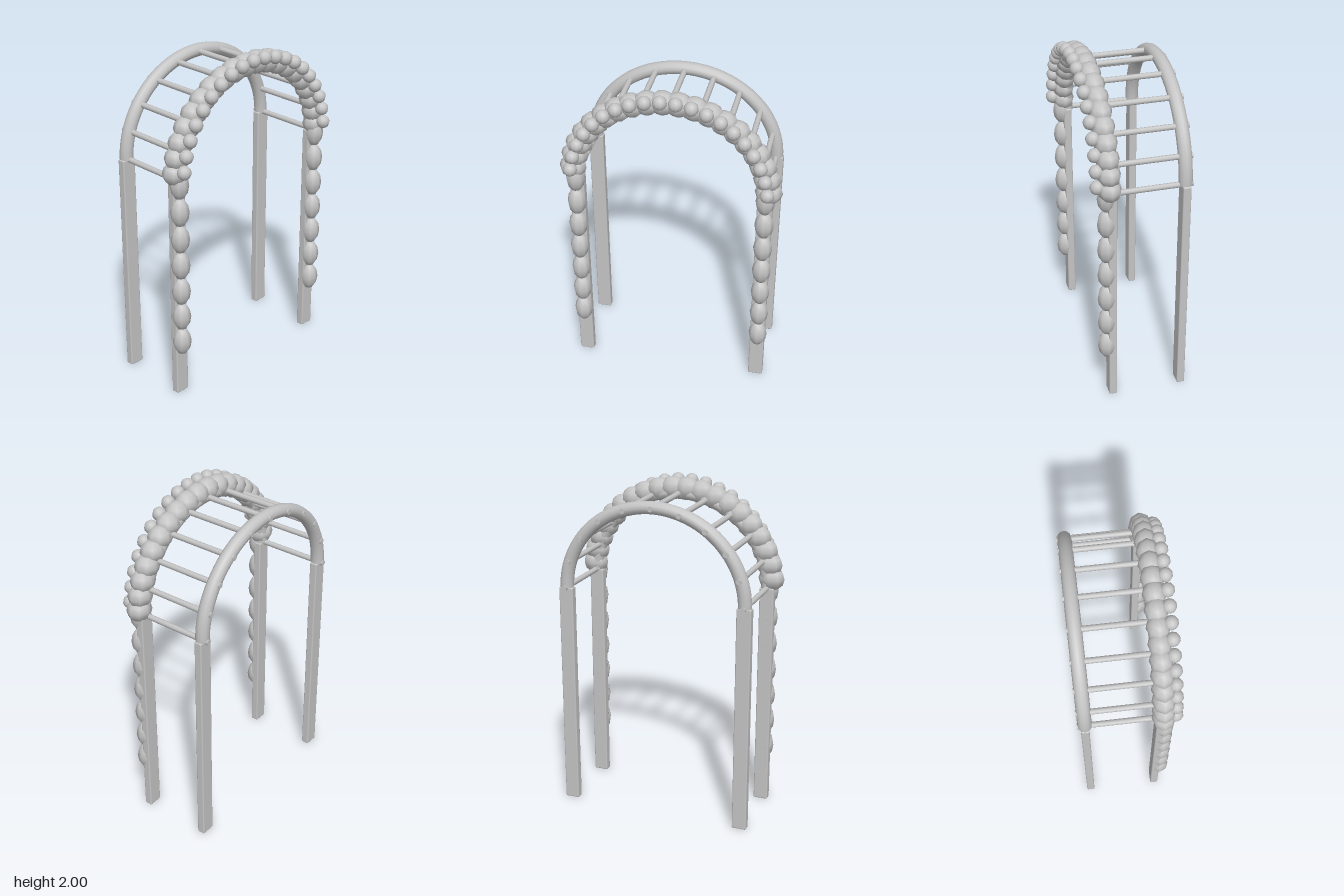
import * as THREE from 'three';
import { RoundedBoxGeometry } from 'three/addons/geometries/RoundedBoxGeometry.js';

const FRONT_Z = 0.172, BACK_Z = -0.25;
const POST_X = 0.55, SPRING_Y = 1.375, RISE = 0.52;
const TUBE_R = 0.04;

export function createModel() {
  const root = new THREE.Group();
  root.name = 'gardenArch';
  const grey = new THREE.MeshStandardMaterial({ color: 0xc4c4c4 });
  grey.name = 'pale grey';

  const add = (parent, name, geometry, x, y, z) => {
    const mesh = new THREE.Mesh(geometry, grey);
    mesh.name = name;
    mesh.position.set(x, y, z);
    parent.add(mesh);
    return mesh;
  };
  const group = (name) => {
    const g = new THREE.Group();
    g.name = name;
    root.add(g);
    return g;
  };

  // Two frames, each with a pair of posts and a slightly flattened hoop
  const postGeo = new RoundedBoxGeometry(0.088, SPRING_Y, 0.048, 2, 0.008);
  const hoopGeo = new THREE.TorusGeometry(POST_X, TUBE_R, 12, 48, Math.PI);
  const capGeo = new THREE.CircleGeometry(TUBE_R, 12).rotateX(Math.PI / 2);
  for (const [side, z] of [['front', FRONT_Z], ['back', BACK_Z]]) {
    const frame = group(side + 'Frame');
    for (const s of [-1, 1]) {
      add(frame, side + 'Post', postGeo, s * POST_X, SPRING_Y / 2, z);
      add(frame, side + 'HoopEnd', capGeo, s * POST_X, SPRING_Y, z);
    }
    add(frame, side + 'Hoop', hoopGeo, 0, SPRING_Y, z).scale.y = RISE / POST_X;
  }

  // Rungs joining the two hoops
  const rungs = group('rungs');
  const rungGeo = new THREE.CylinderGeometry(0.0165, 0.0165, 0.512, 10).rotateX(Math.PI / 2);
  for (let i = 0; i <= 10; i++) {
    const a = (Math.PI * i) / 10;
    add(rungs, 'rung', rungGeo, POST_X * Math.cos(a), SPRING_Y + RISE * Math.sin(a), -0.039);
  }

  // Leaf clumps climbing the front posts
  const climbers = group('climbingLeaves');
  const clumpGeo = new THREE.SphereGeometry(1, 8, 6);
  for (const s of [-1, 1]) {
    for (let i = 0; i < 7; i++) {
      add(climbers, 'postLeaf', clumpGeo, s * 0.554, 0.357 + i * 0.1665, 0.2)
        .scale.set(0.056, 0.088, 0.055);
    }
  }

  // Large foliage clumps and small blossoms following the front hoop
  const garland = group('garland');
  const blossomGeo = new THREE.SphereGeometry(0.041, 10, 8);
  const rad = THREE.MathUtils.degToRad;
  for (let i = 0; i < 20; i++) {
    const a = rad(4 + 8.97 * i);
    add(garland, 'foliage', clumpGeo, 0.57 * Math.cos(a), SPRING_Y + 0.545 * Math.sin(a), 0.187)
      .scale.set(0.08, 0.07, 0.067);
    const b = rad(6 + 8.78 * i);
    add(garland, 'blossom', blossomGeo, 0.57 * Math.cos(b), SPRING_Y + 0.583 * Math.sin(b), 0.255);
  }

  return root;
}
